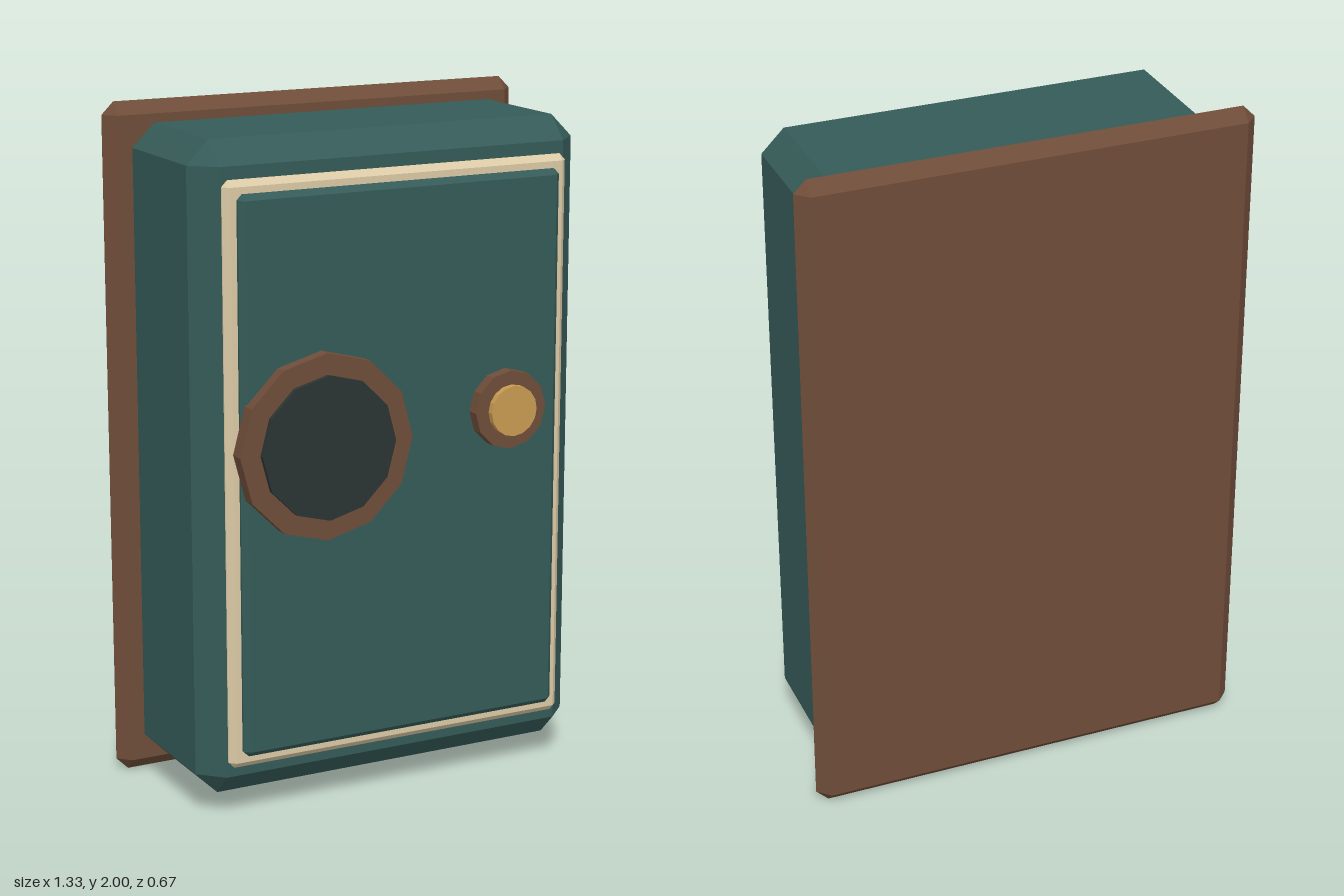
import * as THREE from 'three';
import { ConvexGeometry } from 'three/addons/geometries/ConvexGeometry.js';

const material = (name, color) => Object.assign(new THREE.MeshStandardMaterial({ color }), { name });

// Box with every edge and corner cut by b
function chamferedBox(w, h, d, b) {
  const half = [w / 2, h / 2, d / 2];
  const points = [];
  for (let axis = 0; axis < 3; axis++) {
    for (const sx of [-1, 1]) for (const sy of [-1, 1]) for (const sz of [-1, 1]) {
      const p = [sx, sy, sz].map((s, i) => s * (i === axis ? half[i] : half[i] - b));
      points.push(new THREE.Vector3(...p));
    }
  }
  return new ConvexGeometry(points);
}

// Faceted disc facing +z
function disc(radius, depth, sides) {
  const geometry = new THREE.CylinderGeometry(radius, radius, depth, sides).rotateX(Math.PI / 2).toNonIndexed();
  geometry.computeVertexNormals();
  return geometry;
}

export function createModel() {
  const group = new THREE.Group();
  group.name = 'wallBox';
  const teal = material('teal paint', 0x355b58);
  const wood = material('brown wood', 0x6e4c39);
  const cream = material('cream trim', 0xdccaa6);
  const dark = material('dark face', 0x2b3433);
  const brass = material('brass', 0xc99a52);

  const add = (name, geometry, mat, x, y, z) => {
    const mesh = new THREE.Mesh(geometry, mat);
    mesh.name = name;
    mesh.position.set(x, y, z);
    group.add(mesh);
  };

  // Case, from the wall outwards
  add('backPlate', chamferedBox(1.33, 2, 0.074, 0.0365), wood, 0, 1, -0.297);
  add('body', chamferedBox(1.216, 1.88, 0.5, 0.067), teal, 0, 1.005, -0.03);
  add('trim', chamferedBox(1.08, 1.68, 0.04, 0.018), cream, 0, 1.003, 0.23);
  add('doorPanel', chamferedBox(1.01, 1.605, 0.04, 0.016), teal, 0, 1.003, 0.254);

  // Large dial on the model's right
  add('dialRing', disc(0.268, 0.046, 12), wood, -0.263, 1.089, 0.289);
  add('dialFace', disc(0.207, 0.04, 12), dark, -0.263, 1.089, 0.307);

  // Small knob on the model's left
  add('knobRing', disc(0.115, 0.046, 12), wood, 0.325, 1.13, 0.289);
  add('knobButton', disc(0.074, 0.04, 16), brass, 0.325, 1.13, 0.312);

  return group;
}
